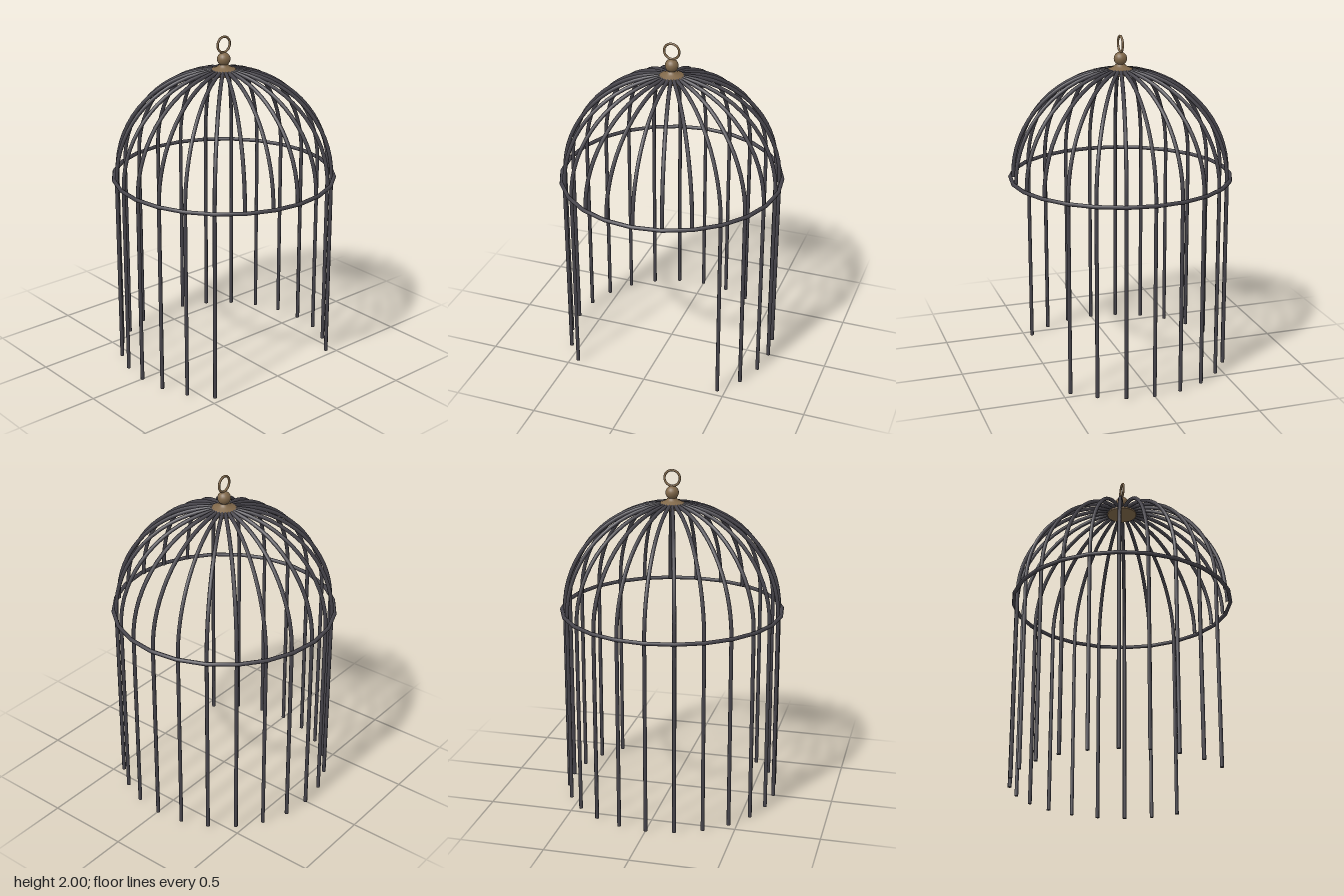
import * as THREE from 'three';

const BARS = 24, RADIUS = 0.64, BAND_Y = 1.157, WIRE = 0.0115;

export function createModel() {
  const iron = new THREE.MeshStandardMaterial({ color: 0x46444b });
  iron.name = 'dark iron';
  const bronze = new THREE.MeshStandardMaterial({ color: 0x80684a });
  bronze.name = 'aged bronze';

  const model = new THREE.Group();
  model.name = 'birdcage';
  const add = (name, geometry, material, parent = model) => {
    const mesh = new THREE.Mesh(geometry, material);
    mesh.name = name;
    parent.add(mesh);
    return mesh;
  };

  // Quarter-circle rib, from the band up into the cap
  const ribPoints = [];
  for (let i = 0; i <= 12; i++) {
    const a = (i / 12) * 1.52;
    ribPoints.push(new THREE.Vector3(0, BAND_Y + RADIUS * Math.sin(a), RADIUS * Math.cos(a)));
  }
  const ribGeometry = new THREE.TubeGeometry(new THREE.CatmullRomCurve3(ribPoints), 16, WIRE, 8);
  const barGeometry = new THREE.CylinderGeometry(WIRE, WIRE, BAND_Y, 8)
    .translate(0, BAND_Y / 2, RADIUS);

  // Ribs all round; upright bars leave a doorway of five spaces at the front
  const ribs = new THREE.Group();
  ribs.name = 'domeRibs';
  const bars = new THREE.Group();
  bars.name = 'uprightBars';
  model.add(ribs, bars);
  for (let i = 0; i < BARS; i++) {
    const angle = (i / BARS) * Math.PI * 2;
    add('domeRib', ribGeometry, iron, ribs).rotation.y = angle;
    if (i > 2 && i < BARS - 2) add('uprightBar', barGeometry, iron, bars).rotation.y = angle;
  }

  // Band around the foot of the dome
  const band = new THREE.TorusGeometry(0.657, 0.012, 8, BARS).rotateX(Math.PI / 2);
  add('band', band, iron).position.y = BAND_Y;

  // Cap with a flat underside, then neck and ball
  const cap = [[0, 1.772], [0.09, 1.772]].map(p => new THREE.Vector2(...p));
  add('capUnderside', new THREE.LatheGeometry(cap, 24), bronze);
  const finial = [[0.09, 1.772], [0.09, 1.786], [0.08, 1.797], [0.062, 1.806],
    [0.042, 1.814], [0.03, 1.824], [0.027, 1.832]].map(p => new THREE.Vector2(...p));
  add('cap', new THREE.LatheGeometry(finial, 24), bronze);
  add('finialBall', new THREE.SphereGeometry(0.039, 20, 14), bronze).position.y = 1.862;

  // Hanging ring
  add('hangingRing', new THREE.TorusGeometry(0.046, 0.007, 8, 28), bronze).position.y = 1.947;

  return model;
}
